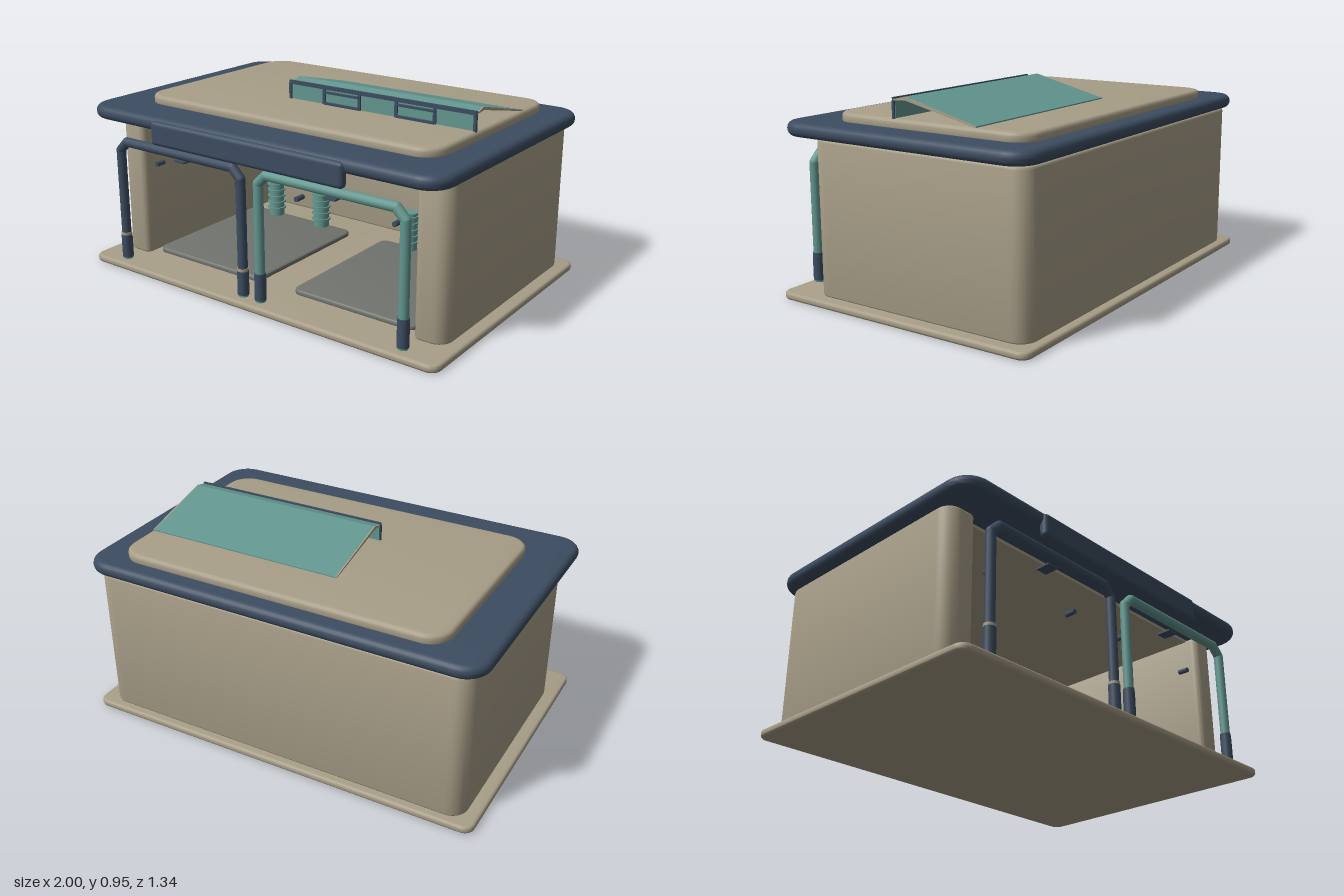
import * as THREE from 'three';
import { toCreasedNormals, mergeGeometries } from 'three/addons/utils/BufferGeometryUtils.js';
import { RoundedBoxGeometry } from 'three/addons/geometries/RoundedBoxGeometry.js';

const mat = (name, color) => {
  const m = new THREE.MeshStandardMaterial({ color });
  m.name = name;
  return m;
};

// Polygon whose corners [x, y, radius] are rounded
function roundedShape(corners) {
  const s = new THREE.Shape();
  const n = corners.length;
  corners.forEach(([x, y, r], i) => {
    const c = new THREE.Vector2(x, y);
    const toward = (q) => c.clone().add(new THREE.Vector2(q[0], q[1]).sub(c).setLength(r));
    const a = toward(corners[(i + n - 1) % n]);
    const b = toward(corners[(i + 1) % n]);
    if (i === 0) s.moveTo(a.x, a.y); else s.lineTo(a.x, a.y);
    s.bezierCurveTo(a.x + (x - a.x) * 0.55, a.y + (y - a.y) * 0.55, b.x + (x - b.x) * 0.55, b.y + (y - b.y) * 0.55, b.x, b.y);
  });
  s.closePath();
  return s;
}

// Extrude a plan outline (x, -z) upward from y0 to y1 with a bevelled rim
function raise(shape, y0, y1, bevel, segments = 3) {
  const g = new THREE.ExtrudeGeometry(shape, {
    depth: y1 - y0 - 2 * bevel, bevelEnabled: true, bevelThickness: bevel,
    bevelSize: bevel, bevelOffset: -bevel, bevelSegments: segments, curveSegments: 8,
  });
  g.rotateX(-Math.PI / 2).translate(0, y0 + bevel, 0);
  return toCreasedNormals(g, 0.6);
}

function slab(x0, x1, z0, z1, y0, y1, r, bevel, segments) {
  return raise(roundedShape([[x0, -z1, r], [x1, -z1, r], [x1, -z0, r], [x0, -z0, r]]), y0, y1, bevel, segments);
}

export function createModel() {
  const root = new THREE.Group();
  root.name = 'garage';
  const tan = mat('tan', 0xa89e88);
  const navy = mat('navy', 0x3c4c60);
  const teal = mat('teal', 0x62968f);
  const grey = mat('padGrey', 0x71746e);
  const add = (name, geo, m, parent = root) => {
    const mesh = new THREE.Mesh(geo, m);
    mesh.name = name;
    parent.add(mesh);
    return mesh;
  };
  const box = (name, x0, x1, y0, y1, z0, z1, m, parent) =>
    add(name, new THREE.BoxGeometry(x1 - x0, y1 - y0, z1 - z0)
      .translate((x0 + x1) / 2, (y0 + y1) / 2, (z0 + z1) / 2), m, parent);

  // Base and roof
  add('base', slab(-1, 1, -0.67, 0.67, 0, 0.035, 0.05, 0.012), tan);
  add('roof', slab(-0.99, 0.99, -0.66, 0.66, 0.75, 0.815, 0.12, 0.03, 5), navy);
  add('roofPanel', slab(-0.79, 0.845, -0.57, 0.46, 0.8, 0.855, 0.11, 0.018), tan);

  // U-shaped walls, open at the front
  const walls = roundedShape([
    [-0.94, -0.5, 0.07], [-0.785, -0.5, 0.03], [-0.785, 0.5, 0.04], [0.785, 0.5, 0.04],
    [0.785, -0.5, 0.03], [0.94, -0.5, 0.07], [0.94, 0.63, 0.08], [-0.94, 0.63, 0.08],
  ]);
  add('walls', raise(walls, 0.03, 0.745, 0.012), tan);
  box('ceilingFill', -0.85, 0.85, 0.735, 0.756, -0.58, 0.44, tan);

  // Front fascia hanging from the roof edge
  add('fascia', new RoundedBoxGeometry(1.085, 0.115, 0.045, 4, 0.02).translate(-0.002, 0.745, 0.652), navy);

  // Two bays, each with a pad, ribbed posts, pegs and a hoop
  const postProfile = [[0, 0.04], [0.04, 0.04], [0.04, 0.07]];
  for (let i = 0; i < 5; i++) {
    const y = 0.095 + i * 0.034;
    postProfile.push([0.04, y], [0.049, y], [0.049, y + 0.009], [0.04, y + 0.009]);
  }
  postProfile.push([0.04, 0.255], [0, 0.255]);
  const postGeo = toCreasedNormals(
    new THREE.LatheGeometry(postProfile.map((p) => new THREE.Vector2(...p)), 20), 0.6);

  for (const side of [-1, 1]) {
    const bay = new THREE.Group();
    bay.name = side < 0 ? 'rightBay' : 'leftBay';
    bay.position.x = side * 0.431;
    root.add(bay);
    add('floorPad', slab(-0.33, 0.33, -0.31, 0.45, 0.03, 0.058, 0.04, 0.008), grey, bay);
    for (const s of [-1, 1]) {
      add('ribbedPost', postGeo, teal, bay).position.set(s * 0.153, 0, -0.28);
      const peg = new THREE.CylinderGeometry(0.012, 0.012, 0.05, 12).rotateX(Math.PI / 2);
      add('peg', peg, navy, bay).position.set(s * 0.257, 0.525, 0.482);
    }

    // Hoop tube with cut corners
    const pts = [[-0.38, 0.06], [-0.38, 0.605], [-0.335, 0.65], [0.335, 0.65], [0.38, 0.605], [0.38, 0.06]]
      .map(([x, y]) => new THREE.Vector3(x, y, 0.615));
    const parts = [];
    for (let i = 0; i < pts.length - 1; i++) {
      const line = new THREE.LineCurve3(pts[i], pts[i + 1]);
      parts.push(new THREE.TubeGeometry(line, 1, 0.023, 14));
      if (i > 0) parts.push(new THREE.SphereGeometry(0.023, 14, 10).translate(...pts[i].toArray()));
    }
    add('hoop', mergeGeometries(parts), side < 0 ? navy : teal, bay);
    for (const s of [-1, 1]) {
      const cyl = (name, r, y0, y1, m) =>
        add(name, new THREE.CylinderGeometry(r, r, y1 - y0, 16), m, bay)
          .position.set(s * 0.38, (y0 + y1) / 2, 0.615);
      cyl('hoopFoot', 0.027, 0.052, 0.168, navy);
      cyl('hoopFootRing', 0.026, 0.168, 0.182, side < 0 ? tan : navy);
      cyl('hoopFootTip', 0.024, 0.043, 0.052, teal);
    }
    box('hoopTab', -0.03, 0.03, 0.605, 0.613, 0.54, 0.61, navy, bay);
  }

  // Sloping roof hatch, profile (z, y) swept along x
  const hatch = new THREE.Group();
  hatch.name = 'roofHatch';
  root.add(hatch);
  const lid = new THREE.Shape(
    [[-0.32, 0.854], [-0.32, 0.86], [0.05, 0.951], [0.112, 0.936], [0.108, 0.93], [0.05, 0.936]]
      .map(([z, y]) => new THREE.Vector2(-z, y)));
  const sweep = (x0, x1) => new THREE.ExtrudeGeometry(lid, { depth: x1 - x0, bevelEnabled: false })
    .rotateY(Math.PI / 2).translate(x0, 0, 0);
  add('hatchLid', sweep(-0.16, 0.83), teal, hatch);
  add('hatchTrim', sweep(-0.166, -0.16), tan, hatch);
  add('hatchTrim', sweep(0.83, 0.836), tan, hatch);

  // Glazed hatch front with navy bars
  box('hatchGlass', -0.16, 0.83, 0.85, 0.932, 0.104, 0.11, teal, hatch);
  box('hatchTopBar', -0.166, 0.836, 0.926, 0.944, 0.105, 0.117, navy, hatch);
  for (let i = 0; i <= 5; i++) {
    const x = -0.16 + i * 0.198;
    box('hatchBar', x - 0.007, x + 0.007, 0.85, 0.93, 0.106, 0.118, navy, hatch);
  }
  for (const i of [1, 3]) {
    const x = -0.16 + i * 0.198;
    box('hatchPaneTop', x, x + 0.198, 0.908, 0.918, 0.108, 0.122, navy, hatch);
    box('hatchPaneSill', x, x + 0.198, 0.855, 0.866, 0.108, 0.122, navy, hatch);
  }
  return root;
}
